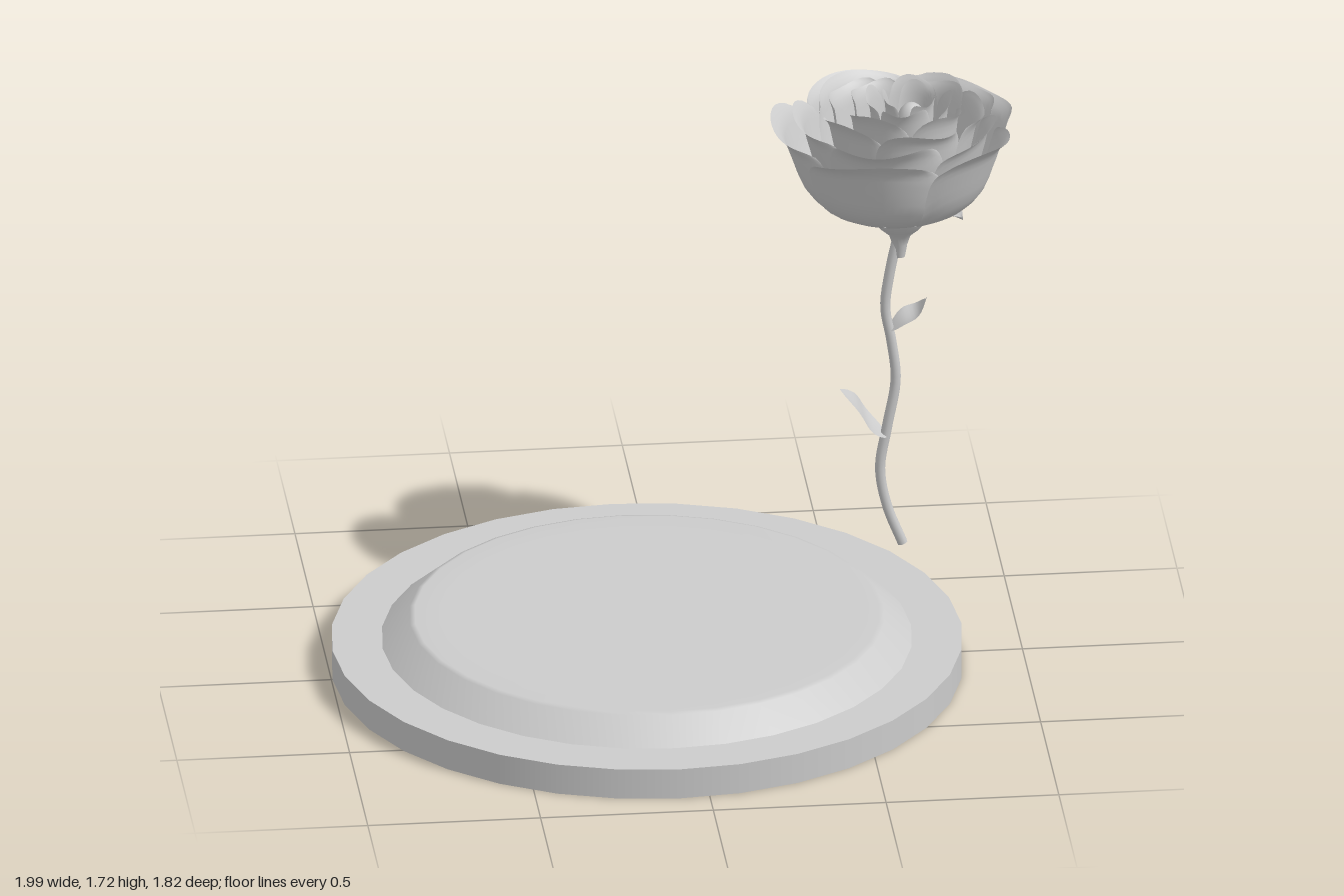
import * as THREE from 'three';

const V = (x, y, z) => new THREE.Vector3(x, y, z);
const material = new THREE.MeshStandardMaterial({ color: 0xcccccc, side: THREE.DoubleSide });
const ZC = -0.157; // depth of the flower axis

function add(parent, name, geometry) {
  const mesh = new THREE.Mesh(geometry, material);
  mesh.name = name;
  parent.add(mesh);
  return mesh;
}

// Smooth sheet: f(u, v) gives a point, u in -1..1 across, v in 0..1 along
function sheet(f, nu, nv) {
  const pos = [], idx = [];
  for (let j = 0; j <= nv; j++) {
    for (let i = 0; i <= nu; i++) {
      pos.push(...f((2 * i) / nu - 1, j / nv).toArray());
      if (i < nu && j < nv) {
        const a = j * (nu + 1) + i, b = a + nu + 1;
        idx.push(a, b, a + 1, a + 1, b, b + 1);
      }
    }
  }
  const g = new THREE.BufferGeometry();
  g.setAttribute('position', new THREE.Float32BufferAttribute(pos, 3));
  g.setIndex(idx);
  g.computeVertexNormals();
  return g;
}

function lathe(points, segments) {
  return new THREE.LatheGeometry(points.map(([r, y]) => new THREE.Vector2(r, y)), segments);
}

// Cupped petal swept around the flower axis, with rounded top corners
function petal(ring, angle, k) {
  const { R, top, half, lip, cx } = ring;
  const h = top - 1.35;
  const profile = new THREE.SplineCurve([
    [0.03, 1.35], [0.5 * R, 1.352 + 0.04 * h], [0.73 * R, 1.35 + 0.3 * h],
    [0.85 * R, 1.35 + 0.7 * h], [0.91 * R, 1.35 + 0.92 * h], [R, top + lip],
  ].map(([r, y]) => new THREE.Vector2(r, y)));
  return sheet((u, v) => {
    const p = profile.getPoint(v * (1 - 0.16 * Math.abs(u) ** 4));
    const width = half * (1 - 0.2 * v ** 6);
    const a = angle + u * width;
    // one side tucks under its neighbour, the rim ripples slightly
    const r = p.x * (1 + 0.05 * u * v - 0.05 * u * u * v);
    const y = p.y + 0.012 * v * v * Math.sin(u * 3 + k * 2.1);
    return V(cx + r * Math.cos(a), y, ZC + r * Math.sin(a));
  }, 16, 14);
}

// Leaf on a curved midrib, widening across z
function leaf(points, width, skew, sag) {
  const rib = new THREE.CatmullRomCurve3(points);
  return sheet((u, v) => {
    const p = rib.getPoint(v);
    const w = width * Math.sin(Math.PI * v ** 0.85) ** 0.8 + 0.004 * (1 - v);
    p.z += u * w + skew * v;
    p.y += sag * u * u * Math.sin(Math.PI * v) - skew * 0.25 * u;
    return p;
  }, 6, 12);
}

export function createModel() {
  const model = new THREE.Group();
  model.name = 'roseOnStand';

  // Hollow stepped stand; doubled points keep its edges sharp
  const stand = add(model, 'stand', lathe([
    [0.91, 0], [0.91, 0.092], [0.91, 0.092], [0.765, 0.092], [0.765, 0.092],
    [0.685, 0.16], [0.67, 0.165], [0.6, 0.165], [0, 0.165],
  ], 32));
  stand.position.x = -0.087;

  // Wavy stem
  const path = new THREE.CatmullRomCurve3([
    [0.67, 0.28], [0.625, 0.4], [0.605, 0.52], [0.625, 0.65], [0.65, 0.8],
    [0.638, 0.92], [0.62, 1.03], [0.633, 1.14], [0.66, 1.27],
  ].map(([x, y]) => V(x, y, -0.16)));
  add(model, 'stem', new THREE.TubeGeometry(path, 48, 0.015, 10));
  const foot = add(model, 'stemEnd', new THREE.CircleGeometry(0.015, 10));
  foot.position.copy(path.getPoint(0));
  foot.lookAt(path.getPoint(0).sub(path.getTangent(0)));

  // Leaves
  add(model, 'upperLeaf', leaf(
    [V(0.625, 0.95, -0.16), V(0.67, 0.983, -0.165), V(0.715, 0.998, -0.175), V(0.745, 1.04, -0.175)],
    0.065, -0.02, 0.008));
  add(model, 'lowerLeaf', leaf(
    [V(0.628, 0.62, -0.16), V(0.575, 0.66, -0.17), V(0.54, 0.715, -0.175), V(0.49, 0.768, -0.175)],
    0.082, 0, 0.008));

  // Calyx cup and sepals
  const calyx = add(model, 'calyx', lathe([
    [0.015, 1.19], [0.022, 1.23], [0.032, 1.26], [0.06, 1.285],
    [0.088, 1.32], [0.103, 1.355], [0.11, 1.375],
  ], 20));
  calyx.position.set(0.662, 0, -0.16);
  const sepals = new THREE.Group();
  sepals.name = 'sepals';
  model.add(sepals);
  for (let k = 0; k < 6; k++) {
    const s = add(sepals, 'sepal', sheet((u, v) => {
      const w = 0.045 * (1 - v) ** 0.6 * (0.8 + 0.8 * v);
      return V(0.09 + 0.145 * v, 1.35 + 0.035 * Math.sin(v * 2.2) + 0.008 * u * u, u * w);
    }, 4, 8));
    s.rotation.y = (k / 6) * Math.PI * 2 + 0.2;
    s.position.set(0.67, 0, -0.16);
  }

  // Rings of petals from the outside in
  const rings = [
    { n: 5, R: 0.355, top: 1.605, half: 0.74, lip: 0.015, cx: 0.647, start: Math.PI },
    { n: 5, R: 0.3, top: 1.635, half: 0.74, lip: 0.012, cx: 0.655, start: 0.55 },
    { n: 5, R: 0.235, top: 1.658, half: 0.74, lip: 0.008, cx: 0.67, start: 0.1 },
    { n: 4, R: 0.175, top: 1.678, half: 0.85, lip: 0.006, cx: 0.68, start: 0.8 },
    { n: 4, R: 0.125, top: 1.692, half: 0.8, lip: 0.006, cx: 0.688, start: 0.2 },
    { n: 3, R: 0.08, top: 1.7, half: 0.9, lip: 0.004, cx: 0.692, start: 0.9 },
  ];
  rings.forEach((ring, i) => {
    const group = new THREE.Group();
    group.name = 'petalRing' + (i + 1);
    model.add(group);
    for (let k = 0; k < ring.n; k++) {
      add(group, 'petal', petal(ring, ring.start + (k / ring.n) * Math.PI * 2, k + i));
    }
  });

  // Closed bud at the heart
  const bud = add(model, 'bud', new THREE.SphereGeometry(0.045, 16, 12));
  bud.scale.y = 1.6;
  bud.position.set(0.694, 1.61, -0.145);

  return model;
}
